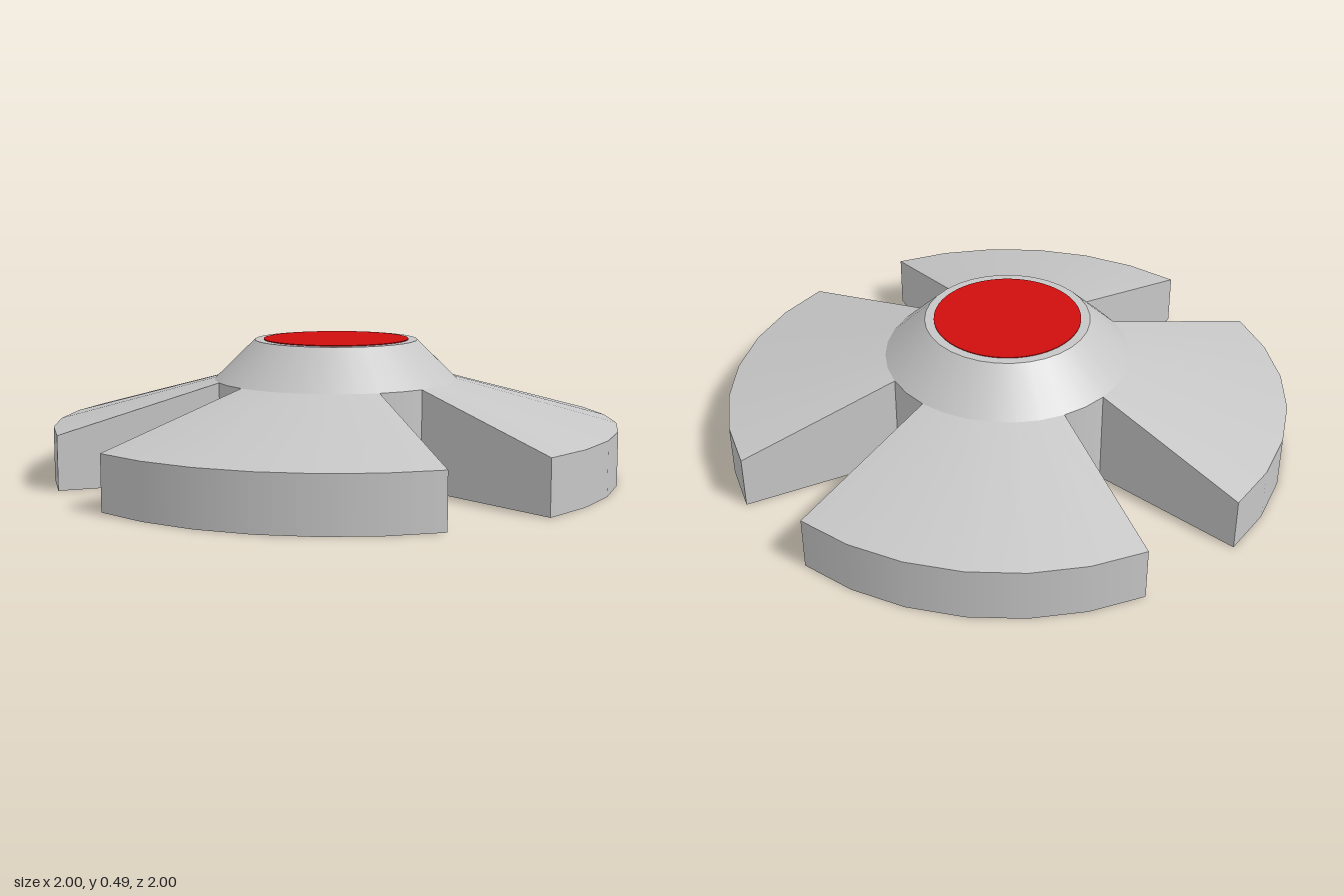
import * as THREE from 'three';
import { mergeGeometries } from 'three/addons/utils/BufferGeometryUtils.js';

const HUB_R = 0.433, HUB_Y = 0.345, RIM_R = 1, RIM_Y = 0.19;
const TOP_R = 0.29, TOP_Y = 0.485;
const STEP = Math.PI / 16; // 32 facets in a full turn

// Revolve each profile edge on its own so the edges between bands stay sharp
function bands(profile, start, facets) {
  return profile.slice(1).map((p, i) => new THREE.LatheGeometry(
    [new THREE.Vector2(...profile[i]), new THREE.Vector2(...p)],
    facets, start, facets * STEP));
}

// Flat end wall of a wing; side is -1 at its start and +1 at its end
function endWall(outline, angle, side) {
  const shape = new THREE.Shape(outline.map(([r, y]) => new THREE.Vector2(-side * r, y)));
  return new THREE.ShapeGeometry(shape).rotateY(angle + side * Math.PI / 2);
}

export function createModel() {
  const grey = new THREE.MeshStandardMaterial({ color: 0xc6c6c6 });
  grey.name = 'light grey';
  const red = new THREE.MeshStandardMaterial({ color: 0xd00d0d });
  red.name = 'red';

  const model = new THREE.Group();
  model.name = 'fourWingedDisc';
  const add = (name, geometry, material) => {
    const mesh = new THREE.Mesh(geometry, material);
    mesh.name = name;
    model.add(mesh);
    return mesh;
  };

  // Central hub: base, straight wall, sloping collar and flat top
  add('hub', mergeGeometries(bands(
    [[0, 0], [HUB_R, 0], [HUB_R, HUB_Y], [TOP_R, TOP_Y], [0, TOP_Y]],
    STEP, 32)), grey);

  // Four sloping wings, six facets wide, with narrow notches between them
  const half = 3 * STEP;
  const outline = [[HUB_R, 0], [RIM_R, 0], [RIM_R, RIM_Y], [HUB_R, HUB_Y]];
  const wing = mergeGeometries([
    ...bands(outline, -half, 6),
    endWall(outline, -half, -1),
    endWall(outline, half, 1),
  ]);
  ['front', 'left', 'back', 'right'].forEach((side, i) => {
    add(side + 'Wing', wing, grey).rotation.y = i * Math.PI / 2;
  });

  // Thin red button on the top
  const button = new THREE.CylinderGeometry(0.258, 0.258, 0.004, 64);
  add('button', button, red).position.y = TOP_Y + 0.001;

  return model;
}
